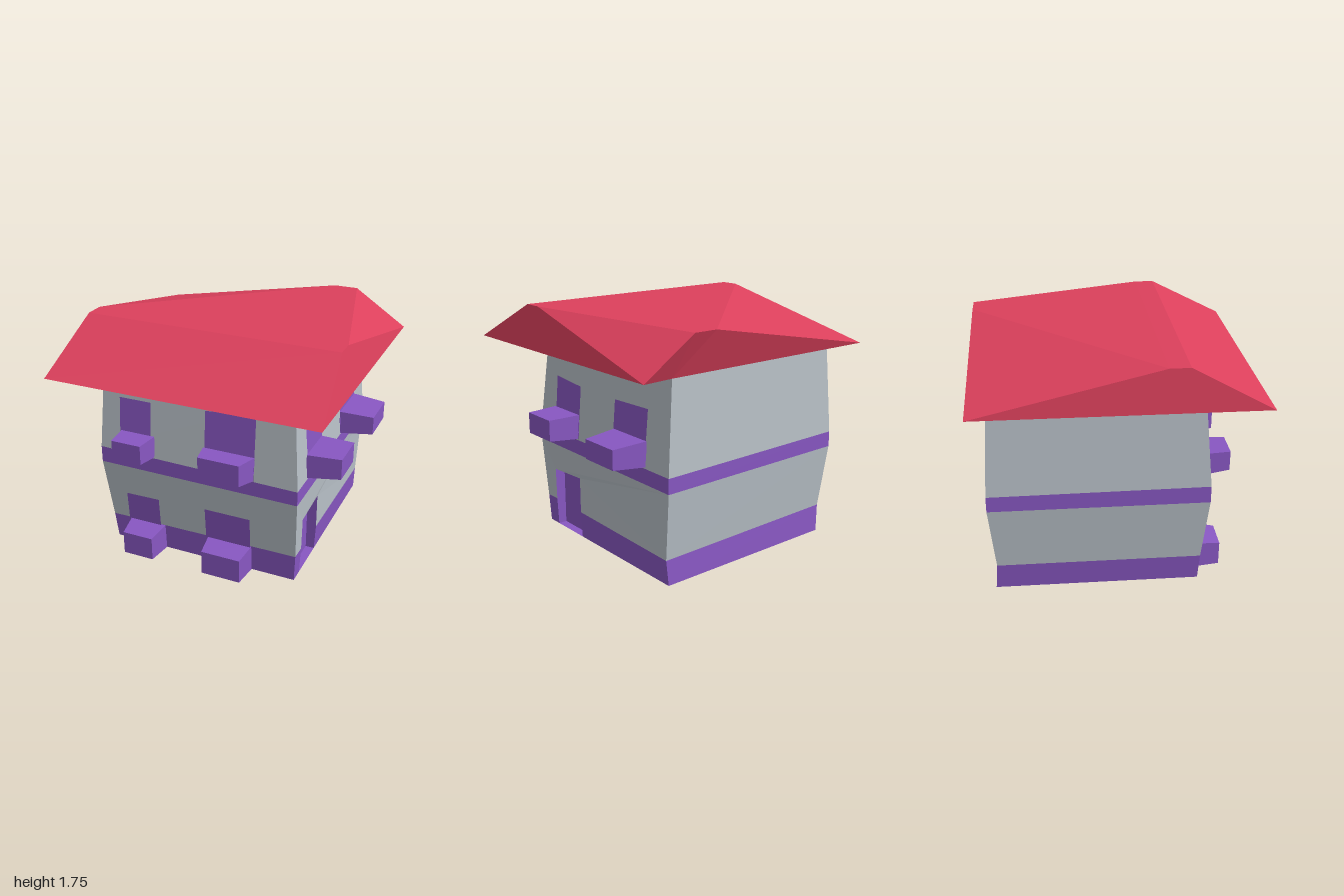
import * as THREE from 'three';

const red = new THREE.MeshStandardMaterial({ color: 0xdc405c });
red.name = 'roofRed';
const grey = new THREE.MeshStandardMaterial({ color: 0xb8c0c7 });
grey.name = 'wallGrey';
const purple = new THREE.MeshStandardMaterial({ color: 0x8857c2 });
purple.name = 'trimPurple';

// Flat-shaded mesh from convex polygons, each counter-clockwise from outside
function faces(name, material, polygons) {
  const points = [];
  for (const p of polygons) {
    for (let i = 1; i < p.length - 1; i++) points.push(...p[0], ...p[i], ...p[i + 1]);
  }
  const geometry = new THREE.BufferGeometry();
  geometry.setAttribute('position', new THREE.Float32BufferAttribute(points, 3));
  geometry.computeVertexNormals();
  const mesh = new THREE.Mesh(geometry, material);
  mesh.name = name;
  return mesh;
}

// Ring of four corners: front left, front right, back right, back left (as seen from the front)
const ring = (x0, x1, zf, zb, y) => [[x0, y[0], zf], [x1, y[1], zf], [x1, y[2], zb], [x0, y[3], zb]];

// Side walls between two rings
const band = (a, b, sides = [0, 1, 2, 3]) => sides.map((i) => {
  const j = (i + 1) % 4;
  return [a[i], a[j], b[j], b[i]];
});

// Distance of a wall from the middle at height y
function wallAt(side, y) {
  const ys = [0, 0.2, 0.66, 0.78, 1.42];
  const ds = side === 'front' ? [0.59, 0.6, 0.645, 0.645, 0.59] : [0.71, 0.72, 0.735, 0.735, 0.68];
  let i = 0;
  while (i < 3 && y > ys[i + 1]) i++;
  return THREE.MathUtils.lerp(ds[i], ds[i + 1], (y - ys[i]) / (ys[i + 1] - ys[i]));
}

// u runs to the right along the wall, d points out of it
const place = (side, u, y, d) => (side === 'front' ? [u, y, d] : [d, y, -u]);

// Window pane on the wall with a tapered planter box below it
function windowWithPlanter(side, w) {
  const group = new THREE.Group();
  group.name = side + 'Window';
  const [p0, p1, top0, top1] = w.pane;
  const pane = [[p0, w.y[0]], [p1, w.y[0]], [p1, top1], [p0, top0]]
    .map(([u, y]) => place(side, u, y, wallAt(side, y) + 0.005));
  group.add(faces('windowPane', purple, [pane]));

  const section = ([u0, u1], [y0, y1], d) =>
    [[u0, y0], [u1, y0], [u1, y1], [u0, y1]].map(([u, y]) => place(side, u, y, d));
  const back = section(w.back, w.y, wallAt(side, w.y[0]) - 0.01);
  const front = section(w.face, w.faceY, w.depth);
  group.add(faces('planterBox', purple, [front, ...band(back, front)]));
  return group;
}

export function createModel() {
  const house = new THREE.Group();
  house.name = 'house';

  // Rings from the ground to the wall top
  const r0 = ring(-0.75, 0.71, 0.59, -0.88, [0, 0, 0, 0]);
  const r1 = ring(-0.77, 0.72, 0.6, -0.865, [0.2, 0.21, 0.18, 0.2]);
  const r2 = ring(-0.815, 0.735, 0.645, -0.91, [0.675, 0.665, 0.665, 0.675]);
  const r3 = ring(-0.815, 0.735, 0.645, -0.91, [0.8, 0.775, 0.775, 0.79]);
  const r4 = ring(-0.78, 0.68, 0.59, -0.875, [1.42, 1.42, 1.42, 1.42]);

  // Doorway corners on the side wall: n = near the front, f = far from it
  const n0 = [0.71, 0, 0.48], n1 = [0.72, 0.21, 0.48], n2 = [0.724, 0.455, 0.48];
  const f0 = [0.71, 0, 0.15], f1 = [0.72, 0.2, 0.15], f2 = [0.72, 0.47, 0.15];
  const inward = (p) => [0.645, p[1], p[2]];

  house.add(faces('baseBand', purple, [
    ...band(r0, r1, [0, 2, 3]),
    [r0[1], n0, n1, r1[1]],
    [f0, r0[2], r1[2], f1],
    [...r0].reverse(),
  ]));
  house.add(faces('lowerWalls', grey, [
    ...band(r1, r2, [0, 2, 3]),
    [r1[1], n1, n2, r2[1]],
    [n2, f2, r2[2], r2[1]],
    [r1[2], r2[2], f2, f1],
  ]));
  house.add(faces('middleBand', purple, band(r2, r3)));
  house.add(faces('upperWalls', grey, band(r3, r4)));

  // Recessed door with its jambs, lintel and sill
  house.add(faces('door', purple, [
    [inward(n0), inward(f0), inward(f2), inward(n2)],
    [inward(f0), f0, f1, f2, inward(f2)],
    [n0, inward(n0), inward(n2), n2, n1],
    [inward(n2), inward(f2), f2, n2],
    [inward(n0), n0, f0, inward(f0)],
  ]));

  // Windows: pane = left, right, top left, top right
  const upY = [0.785, 0.965], lowY = [0, 0.205];
  [
    { pane: [-0.65, -0.4, 1.22, 1.22], back: [-0.64, -0.37], face: [-0.62, -0.39], y: [0.8, 0.965], faceY: [0.82, 0.965], depth: 0.81 },
    { pane: [0.03, 0.41, 1.24, 1.27], back: [0.02, 0.41], face: [0.06, 0.37], y: upY, faceY: [0.82, 0.98], depth: 0.81 },
    { pane: [-0.63, -0.36, 0.43, 0.435], back: [-0.62, -0.325], face: [-0.59, -0.35], y: lowY, faceY: [0, 0.18], depth: 0.78 },
    { pane: [0.02, 0.375, 0.45, 0.45], back: [0.03, 0.38], face: [0.06, 0.36], y: lowY, faceY: [0, 0.185], depth: 0.78 },
  ].forEach((w) => house.add(windowWithPlanter('front', w)));
  [
    { pane: [-0.435, -0.125, 1.2, 1.175], back: [-0.45, -0.13], face: [-0.42, -0.14], y: upY, faceY: [0.81, 0.965], depth: 0.97 },
    { pane: [0.295, 0.66, 1.17, 1.18], back: [0.3, 0.665], face: [0.33, 0.64], y: upY, faceY: [0.81, 0.95], depth: 0.98 },
  ].forEach((w) => house.add(windowWithPlanter('right', w)));

  // Roof: eaves, front ridge strip and a rear ridge running to the back
  const [eFL, eFR, eBR, eBL] = ring(-1, 1, 1, -1, [1.455, 1.455, 1.455, 1.455]);
  const h = 1.755;
  const ridgeL = [-0.97, h, 0.44], ridgeR = [0.93, h, 0.44];
  const rearL = [-0.97, h, 0.3], rearR = [0.93, h, 0.3];
  const j1 = [0.47, h, 0.3], j2 = [0.62, h, 0.3];
  const k1 = [0.42, 1.72, -1], k2 = [0.6, 1.72, -1];
  house.add(faces('roof', red, [
    [eFL, eFR, ridgeR, ridgeL],
    [ridgeL, ridgeR, rearR, rearL],
    [eFR, eBR, rearR, ridgeR],
    [eBL, eFL, ridgeL, rearL],
    [rearL, j1, k1],
    [rearL, k1, eBL],
    [j1, j2, k2, k1],
    [j2, rearR, k2],
    [rearR, eBR, k2],
  ]));
  house.add(faces('roofUnderside', red, [
    [r4[0], r4[1], eFR, eFL],
    [r4[1], r4[2], eBR, eFR],
    [r4[3], r4[0], eFL, eBL],
    [r4[2], r4[3], eBL, k1, k2, eBR],
  ]));

  return house;
}
